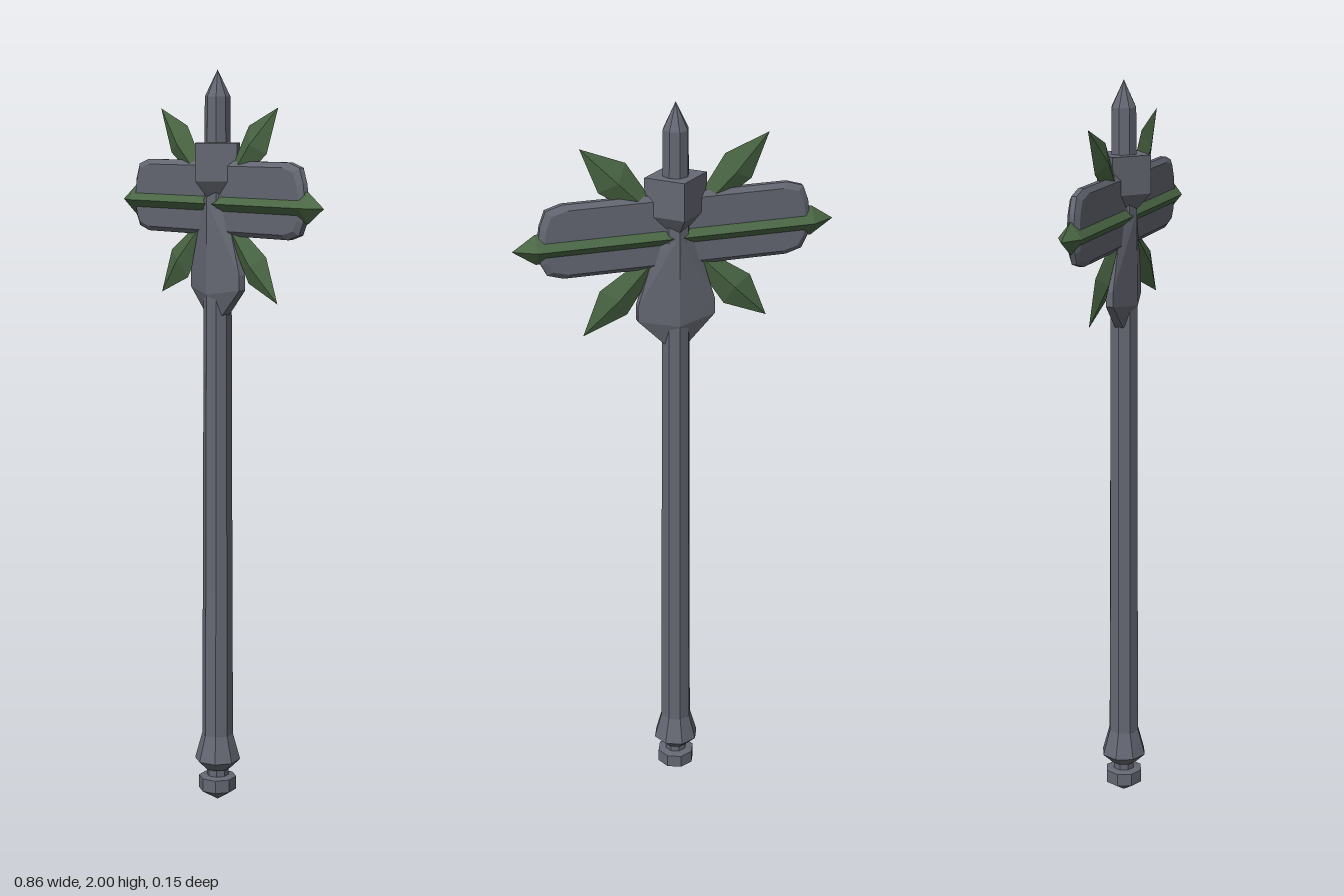
import * as THREE from 'three';
import { ConvexGeometry } from 'three/addons/geometries/ConvexGeometry.js';

const iron = new THREE.MeshStandardMaterial({ color: 0x656873 });
iron.name = 'grey iron';
const green = new THREE.MeshStandardMaterial({ color: 0x4b6845 });
green.name = 'leaf green';

export function createModel() {
  const model = new THREE.Group();
  model.name = 'mace';

  const add = (name, geometry, material) => {
    const mesh = new THREE.Mesh(geometry, material);
    mesh.name = name;
    model.add(mesh);
    return mesh;
  };
  // Faceted convex solid around a set of corners
  const hull = (name, points, material) =>
    add(name, new ConvexGeometry(points.map((p) => new THREE.Vector3(...p))), material);
  // Faceted eight-sided turned part from [radius, y] pairs, bottom to top
  const turned = (name, profile) => {
    const lathe = new THREE.LatheGeometry(profile.map(([r, y]) => new THREE.Vector2(r, y)), 8);
    const flat = lathe.toNonIndexed();
    flat.computeVertexNormals();
    return add(name, flat, iron);
  };
  // Repeat corners on both sides of the x = 0 and z = 0 planes
  const mirrorZ = (pts) => pts.flatMap(([x, y, z]) => [[x, y, z], [x, y, -z]]);
  const mirrorXZ = (pts) => mirrorZ(pts.flatMap(([x, y, z]) => [[x, y, z], [-x, y, z]]));

  // Handle, from the button at the foot to the spike on top
  turned('pommel', [[0, 0], [0.052, 0.032], [0.052, 0.068], [0.03, 0.072], [0.03, 0.095], [0, 0.095]]);
  turned('gripCollar', [[0, 0.09], [0.036, 0.092], [0.063, 0.118], [0.043, 0.19], [0, 0.19]]);
  turned('shaft', [[0, 0.18], [0.043, 0.18], [0.041, 0.58], [0.039, 1.09], [0.037, 1.7], [0, 1.7]]);
  turned('topSpike', [[0, 1.68], [0.036, 1.68], [0.034, 1.93], [0, 2]]);

  // Diamond-shaped block that tapers into the shaft
  hull('collarBlock', mirrorXZ([
    [0.083, 1.81, 0], [0, 1.81, 0.075],
    [0.083, 1.71, 0], [0, 1.71, 0.075],
    [0.035, 1.66, 0], [0, 1.66, 0.03],
  ]), iron);

  // Wide bevelled plate with clipped corners
  const plateOutline = [
    [0.3, 0.103], [0.343, 0.09], [0.358, 0.05], [0.365, 0],
    [0.358, -0.05], [0.343, -0.08], [0.3, -0.093],
  ];
  hull('crossPlate', mirrorXZ(plateOutline.flatMap(([x, y]) => [
    [x, 1.66 + y, 0.007],
    [x - 0.014, 1.66 + y * 0.87, 0.017],
  ])), iron);

  // Diamond-section bar with pointed ends
  hull('crossBar', mirrorXZ([
    [0.43, 1.65, 0], [0.37, 1.65, 0.032],
    [0.37, 1.69, 0], [0.37, 1.61, 0],
  ]), green);

  // Ridged shield below the bar
  hull('lowerShield', mirrorXZ([
    [0.035, 1.355, 0.012], [0.105, 1.425, 0.01], [0.105, 1.465, 0.01],
    [0.075, 1.56, 0.012], [0.04, 1.68, 0.012],
    [0, 1.41, 0.039], [0, 1.66, 0.036],
  ]), iron);

  // Four leaf blades on the diagonals
  [['leftUpper', 1], ['rightUpper', 3], ['rightLower', 5], ['leftLower', 7]].forEach(([side, k]) => {
    const leaf = hull(side + 'Leaf', mirrorZ([
      [0.05, 0, 0.008], [0.145, 0.032, 0], [0.145, -0.032, 0],
      [0.2375, 0.051, 0], [0.2375, -0.051, 0],
      [0.22, 0, 0.019], [0.354, 0, 0],
    ]), green);
    leaf.rotation.z = k * Math.PI / 4;
    leaf.position.y = 1.65;
  });

  return model;
}
